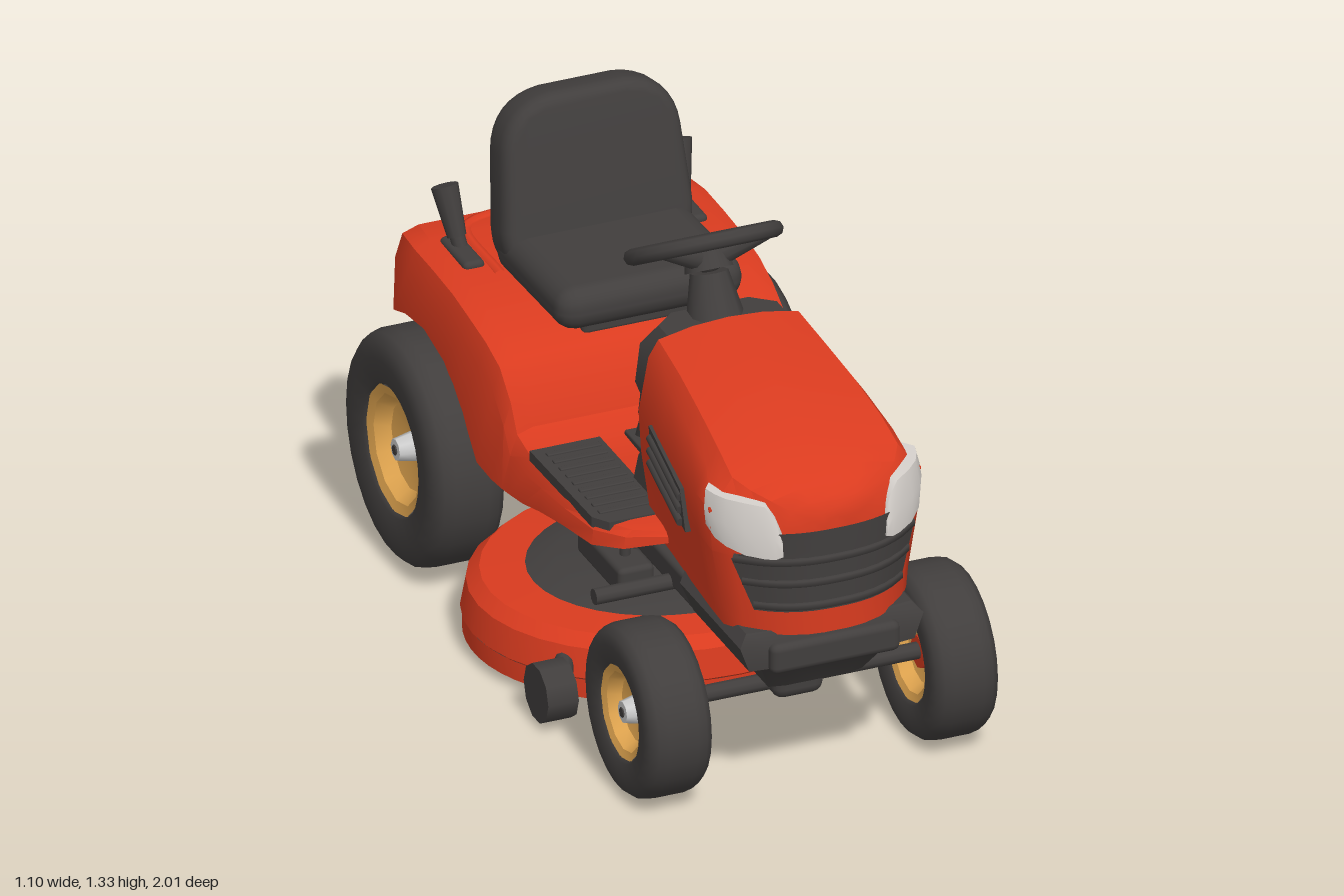
import * as THREE from 'three';
import { toCreasedNormals } from 'three/addons/utils/BufferGeometryUtils.js';
import { RoundedBoxGeometry } from 'three/addons/geometries/RoundedBoxGeometry.js';

const paint = (name, color, side = THREE.FrontSide) => {
  const m = new THREE.MeshStandardMaterial({ color, side });
  m.name = name;
  return m;
};

export function createModel() {
  const root = new THREE.Group();
  root.name = 'ridingMower';
  const red = paint('bodyRed', 0xd93b1f);
  const dark = paint('charcoal', 0x413e3d, THREE.DoubleSide);
  const yellow = paint('rimYellow', 0xe2a650);
  const lens = paint('lampWhite', 0xd6d1cc);
  const silver = paint('hubSilver', 0xcccccc);
  const V = (p) => new THREE.Vector3(...p);

  function add(name, geo, mat, pos = [0, 0, 0], parent = root) {
    const m = new THREE.Mesh(geo, mat);
    m.name = name;
    m.position.set(...pos);
    parent.add(m);
    return m;
  }
  const box = (name, mat, size, pos, r = 0.015) =>
    add(name, new RoundedBoxGeometry(...size, 2, r), mat, pos);

  // tapered round bar between two points
  function rod(name, mat, a, b, r0, r1 = r0, parent = root) {
    const d = V(b).sub(V(a));
    const m = add(name, new THREE.CylinderGeometry(r1, r0, d.length(), 10), mat, [0, 0, 0], parent);
    m.position.copy(V(a)).addScaledVector(d, 0.5);
    m.quaternion.setFromUnitVectors(new THREE.Vector3(0, 1, 0), d.normalize());
    return m;
  }

  // closed skin through equal-length rings, capped and turned outward
  function loft(rings, crease = 0.7) {
    const n = rings[0].length, pos = rings.flat(2), idx = [];
    for (let i = 0; i < rings.length - 1; i++) for (let j = 0; j < n; j++) {
      const a = i * n + j, b = i * n + (j + 1) % n;
      idx.push(a, b, a + n, b, b + n, a + n);
    }
    [0, rings.length - 1].forEach((k, e) => {
      const c = pos.length / 3;
      for (let q = 0; q < 3; q++) pos.push(rings[k].reduce((s, p) => s + p[q] / n, 0));
      for (let j = 0; j < n; j++) {
        const a = k * n + j, b = k * n + (j + 1) % n;
        idx.push(...(e ? [c, a, b] : [c, b, a]));
      }
    });
    const P = (i) => new THREE.Vector3().fromArray(pos, i * 3);
    let vol = 0;
    for (let i = 0; i < idx.length; i += 3) vol += P(idx[i]).dot(P(idx[i + 1]).cross(P(idx[i + 2])));
    if (vol < 0) idx.reverse();
    const g = new THREE.BufferGeometry();
    g.setAttribute('position', new THREE.Float32BufferAttribute(pos, 3));
    g.setIndex(idx);
    return toCreasedNormals(g, crease);
  }
  const mirror = (half) => [...half, ...half.filter((p) => p[0] > 0).reverse().map(([x, y, z]) => [-x, y, z])];

  // hood: [z, top height, half width], nose rounded in plan
  const hoodSections = [[0.29, 1.08, 0.25], [0.45, 1.06, 0.262], [0.6, 1.035, 0.277], [0.75, 1.0, 0.29], [0.85, 0.965, 0.295]];
  [[0.9, 0.945], [0.94, 0.925], [0.97, 0.9], [0.988, 0.875], [0.994, 0.85]].forEach(([z, y]) =>
    hoodSections.push([z, y, 0.29 * Math.pow((0.995 - z) / 0.13, 0.4)]));
  add('hood', loft(hoodSections.map(([z, t, w]) => {
    const m = Math.min(0.86, t - 0.09);
    return mirror([[0, t, z], [0.4 * w, t - 0.006, z], [0.78 * w, t - 0.025, z], [0.89 * w, t - 0.07, z],
      [w, m, z], [0.97 * w, 0.74, z], [0.88 * w, 0.58, z], [0.86 * w, 0.52, z]]);
  })), red);

  // grille panels that follow the nose
  const widthAt = (y) => 0.85 + (y - 0.52) * 0.5;
  const noseZ = (x, y) => 0.995 - 0.13 * Math.pow(Math.abs(x) / widthAt(y) / 0.29, 2.5);
  function nosePanel(name, y1, w1, y0, w0) {
    const g = new THREE.PlaneGeometry(2, 1, 12, 3), p = g.attributes.position;
    for (let i = 0; i < p.count; i++) {
      const v = p.getY(i) + 0.5, y = y0 + (y1 - y0) * v, x = p.getX(i) * (w0 + (w1 - w0) * v);
      p.setXYZ(i, x * 1.02, y, noseZ(x, y) + 0.005);
    }
    g.computeVertexNormals();
    add(name, g, dark);
  }
  nosePanel('grilleTop', 0.82, 0.15, 0.735, 0.25);
  nosePanel('grille', 0.735, 0.25, 0.59, 0.2);
  [[0.735, 0.245], [0.672, 0.225], [0.605, 0.2]].forEach(([y, w]) => {
    const pts = Array.from({ length: 9 }, (_, i) => {
      const x = w * (i / 4 - 1);
      return new THREE.Vector3(x, y, noseZ(x, y) - 0.003);
    });
    add('grilleSlat', new THREE.TubeGeometry(new THREE.CatmullRomCurve3(pts), 16, 0.016, 6), dark);
  });
  // headlight columns wrapping the corner: [x, z, top, bottom]
  const lamp = [[0.146, 0.982, 0.815, 0.755], [0.165, 0.976, 0.86, 0.748], [0.19, 0.966, 0.895, 0.75],
    [0.235, 0.938, 0.902, 0.757], [0.272, 0.9, 0.903, 0.772], [0.29, 0.865, 0.904, 0.785], [0.3, 0.83, 0.905, 0.81]];
  for (const s of [-1, 1]) {
    add('headlight', loft(lamp.map(([x, z, t, b]) => [[s * x * 0.97, t, z - 0.012], [s * x, (t + b) / 2, z],
      [s * x * 0.985, b, z], [s * x * 0.85, b, z - 0.05], [s * x * 0.85, t, z - 0.06]]), 0.9), lens);
    // side vent with slats
    const quad = [[0.27, 0.82, 0.65], [0.245, 0.87, 0.39], [0.245, 0.745, 0.41], [0.265, 0.705, 0.675]];
    add('sideVent', loft([0, 0.02].map((o) => quad.map(([x, y, z]) => [s * (x + o), y, z])), 0.3), dark);
    for (let i = 0; i < 3; i++) {
      const k = 0.025 + i * 0.036;
      rod('ventSlat', dark, [s * 0.287, 0.82 - k, 0.65], [s * 0.264, 0.865 - k, 0.4], 0.012);
    }
  }

  // stacked horizontal rings: [y, half width, back z, front z]
  const stack = (rows) => loft(rows.map(([y, w, b, f]) => mirror(
    [[0, y, b], [0.65 * w, y, b], [w, y, b + 0.05], [w, y, f - 0.01], [0.65 * w, y, f], [0, y, f]])));
  add('dashboard', stack([[0.55, 0.2, 0.08, 0.31], [0.65, 0.19, 0.1, 0.31], [0.74, 0.18, 0.17, 0.31], [0.8, 0.2, 0.225, 0.31],
    [0.9, 0.225, 0.16, 0.31], [1.0, 0.205, 0.145, 0.31], [1.055, 0.165, 0.17, 0.31]]), dark);
  add('frontBumper', stack([[0.53, 0.23, 0.5, 0.95], [0.5, 0.255, 0.52, 0.97], [0.43, 0.23, 0.55, 0.97],
    [0.41, 0.18, 0.58, 0.93], [0.31, 0.13, 0.62, 0.86]]), dark);
  box('bumperNose', dark, [0.36, 0.085, 0.08], [0, 0.462, 0.955], 0.02);

  // floor and fender skin: [z, top, bottom, half width]
  const body = [[0.43, 0.57, 0.54, 0.23], [0.38, 0.575, 0.52, 0.33], [0.3, 0.575, 0.505, 0.385], [0.15, 0.57, 0.49, 0.4],
    [0, 0.565, 0.455, 0.4], [-0.1, 0.57, 0.43, 0.405], [-0.18, 0.6, 0.42, 0.41], [-0.21, 0.68, 0.42, 0.415], [-0.27, 0.755, 0.42, 0.42],
    [-0.35, 0.79, 0.43, 0.425], [-0.45, 0.815, 0.555, 0.43], [-0.55, 0.83, 0.625, 0.43], [-0.68, 0.835, 0.655, 0.43],
    [-0.8, 0.838, 0.64, 0.43], [-0.9, 0.832, 0.6, 0.42], [-0.95, 0.8, 0.62, 0.395], [-0.985, 0.74, 0.65, 0.35], [-1, 0.69, 0.665, 0.29]];
  add('fenderBody', loft(body.map(([z, t, b, w]) => {
    const d = Math.min(0.08, (t - b) * 0.4);
    return mirror([[0, t, z], [w - 0.07, t, z], [w - 0.025, t - 0.2 * d, z], [w - 0.005, t - d, z], [w, b, z], [w - 0.04, b, z], [0, b, z]]);
  }), 0.6), red);
  // rear hull between the wheels
  add('rearHull', loft([[-0.34, 0.36, 0.2], [-0.45, 0.27, 0.22], [-0.78, 0.25, 0.22], [-0.85, 0.36, 0.24], [-0.92, 0.62, 0.27]]
    .map(([z, b, w]) => mirror([[0, 0.7, z], [0.3, 0.7, z], [w, b, z], [0, b, z]])), 0.4), red);
  const lip = [[-0.26, 0.822, -0.58], [-0.25, 0.826, -0.83], [-0.2, 0.826, -0.87], [0.2, 0.826, -0.87], [0.25, 0.826, -0.83], [0.26, 0.822, -0.58]];
  add('trayLip', new THREE.TubeGeometry(new THREE.CatmullRomCurve3(lip.map(V)), 30, 0.018, 8), red);

  // foot mats, fender levers, deck rollers
  for (const s of [-1, 1]) {
    const mat = [[0.19, -0.1], [0.385, -0.1], [0.38, 0.29], [0.35, 0.335], [0.19, 0.335]];
    add('footMat', loft([0.55, 0.579].map((y) => mat.map(([x, z]) => [s * x, y, z])), 0.3), dark);
    for (let i = 0; i < 9; i++) box('matRib', dark, [0.15, 0.008, 0.018], [s * 0.28, 0.58, -0.06 + i * 0.042], 0.003);
    box('leverBase', dark, [0.06, 0.03, 0.17], [s * 0.31, 0.835, -0.71]);
    rod('leverStem', dark, [s * 0.305, 0.83, -0.725], [s * 0.315, 0.9, -0.755], 0.02);
    rod('leverGrip', dark, [s * 0.312, 0.87, -0.74], [s * 0.325, 0.995, -0.79], 0.025, 0.036);
    rod('deckRoller', dark, [s * 0.45, 0.1, 0.29], [s * 0.535, 0.1, 0.29], 0.08);
    rod('rollerArm', dark, [s * 0.46, 0.11, 0.29], [s * 0.4, 0.13, 0.16], 0.025);
  }
  box('pedalSlot', dark, [0.06, 0.02, 0.17], [-0.09, 0.572, -0.02], 0.005);
  rod('pedalLever', dark, [-0.09, 0.57, -0.07], [-0.09, 0.68, -0.02], 0.015);
  rod('pedalLeverGrip', dark, [-0.09, 0.66, -0.03], [-0.09, 0.76, 0.02], 0.022, 0.034);

  // seat
  box('seatBracket', dark, [0.3, 0.09, 0.24], [0, 0.805, -0.42]);
  box('seatCushion', dark, [0.52, 0.12, 0.46], [0, 0.888, -0.415], 0.055).rotation.x = -0.03;
  const back = new THREE.Shape();
  back.moveTo(-0.2, 0);
  back.lineTo(0.2, 0);
  back.quadraticCurveTo(0.235, 0, 0.235, 0.08);
  back.lineTo(0.22, 0.28);
  back.quadraticCurveTo(0.21, 0.39, 0.1, 0.4);
  back.lineTo(-0.1, 0.4);
  back.quadraticCurveTo(-0.21, 0.39, -0.22, 0.28);
  back.lineTo(-0.235, 0.08);
  back.quadraticCurveTo(-0.235, 0, -0.2, 0);
  const backGeo = new THREE.ExtrudeGeometry(back, { depth: 0.05, bevelSize: 0.03, bevelThickness: 0.04, bevelSegments: 4, curveSegments: 8 });
  add('seatBack', toCreasedNormals(backGeo, 0.8), dark, [0, 0.865, -0.605]).rotation.x = -0.2;

  // steering wheel and column
  rod('steeringColumn', dark, [0, 1.0, 0.22], [0, 1.15, 0.165], 0.085, 0.05);
  const wheel = new THREE.Group();
  wheel.name = 'steeringWheel';
  wheel.position.set(0, 1.215, 0.13);
  wheel.rotation.x = -0.528;
  root.add(wheel);
  add('steeringRim', new THREE.TorusGeometry(0.188, 0.022, 8, 28), dark, [0, 0, 0], wheel).rotation.x = Math.PI / 2;
  add('steeringHub', new THREE.CylinderGeometry(0.055, 0.065, 0.05, 12), dark, [0, -0.045, 0], wheel);
  [[0, -1], [0.85, 0.53], [-0.85, 0.53]].forEach(([x, z]) =>
    rod('spoke', dark, [0, -0.045, 0], [x * 0.185, 0, z * 0.185], 0.034, 0.018, wheel));

  // road wheels
  function roadWheel(name, s, x, y, z, R, w, rimR) {
    const g = new THREE.Group();
    g.name = name;
    g.position.set(s * x, y, z);
    g.rotation.z = -s * Math.PI / 2;
    root.add(g);
    const lathe = (pts, n) => new THREE.LatheGeometry(pts.map(([r, h]) => new THREE.Vector2(r, h)), n);
    const half = [[R, 0.22], [0.975 * R, 0.36], [0.91 * R, 0.46], [0.78 * R, 0.5], [rimR + 0.01, 0.46], [rimR, 0.4]];
    const prof = [...half.map(([r, h]) => [r, -h]).reverse(), ...half].map(([r, h]) => [r, h * w]);
    add('tire', lathe(prof, 26), dark, [0, 0, 0], g);
    for (const flip of [0, Math.PI])
      add('rim', toCreasedNormals(lathe([[rimR + 0.004, 0.42 * w], [0.86 * rimR, 0.38 * w], [0.7 * rimR, 0.2 * w],
        [0.34 * rimR, 0.14 * w], [0, 0.14 * w]], 12), 0.5), yellow, [0, 0, 0], g).rotation.x = flip;
    add('hub', new THREE.CylinderGeometry(0.03, 0.042, 0.27 * w, 8), silver, [0, 0.26 * w, 0], g);
    add('hubNut', new THREE.CylinderGeometry(0.014, 0.014, 0.05 * w, 6), dark, [0, 0.39 * w, 0], g);
    add('innerHub', new THREE.CylinderGeometry(0.045, 0.045, 0.12 * w, 8), red, [0, -0.2 * w, 0], g);
  }
  for (const s of [-1, 1]) {
    roadWheel('frontWheel', s, 0.398, 0.235, 0.7, 0.232, 0.185, 0.125);
    roadWheel('rearWheel', s, 0.432, 0.328, -0.667, 0.315, 0.21, 0.172);
  }

  // cutting deck, with a dark skirt around the back
  const deck = (name, mat, pts, start = 0, sweep = 2 * Math.PI) => {
    const g = new THREE.LatheGeometry(pts.map(([r, y]) => new THREE.Vector2(r, y)), 36, start, sweep);
    g.scale(1, 1, 0.85);
    add(name, toCreasedNormals(g, 0.5), mat, [0, 0, -0.085]);
  };
  const skirt = [[0.53, 0.032], [0.545, 0.032], [0.545, 0.085]];
  deck('deckUnderside', dark, [[0, 0.045], [0.54, 0.04]]);
  deck('frontSkirt', red, skirt, -0.62 * Math.PI, 1.24 * Math.PI);
  deck('rearSkirt', dark, skirt, 0.62 * Math.PI, 0.76 * Math.PI);
  deck('deckShell', red, [[0.545, 0.085], [0.55, 0.09], [0.535, 0.17], [0.5, 0.2], [0.38, 0.205]]);
  deck('deckCover', dark, [[0.385, 0.203], [0.36, 0.21], [0.3, 0.225], [0, 0.23]]);

  // chassis and axles
  for (const s of [-1, 1]) {
    box('frameRail', dark, [0.04, 0.075, 0.7], [s * 0.14, 0.365, 0.36]);
    box('deckSpindle', dark, [0.1, 0.08, 0.28], [s * 0.18, 0.265, -0.02]);
    rod('deckHanger', dark, [s * 0.18, 0.28, 0.04], [s * 0.18, 0.46, 0.04], 0.014);
  }
  box('transmission', dark, [0.3, 0.18, 0.42], [0, 0.335, -0.18]);
  rod('crossBar', dark, [-0.37, 0.34, 0.28], [0.37, 0.34, 0.28], 0.022);
  rod('frontAxle', dark, [-0.36, 0.24, 0.7], [0.36, 0.24, 0.7], 0.023);
  box('axlePivot', dark, [0.14, 0.08, 0.12], [0, 0.245, 0.7], 0.03);
  rod('rearAxle', red, [-0.4, 0.33, -0.667], [0.4, 0.33, -0.667], 0.05);
  return root;
}
